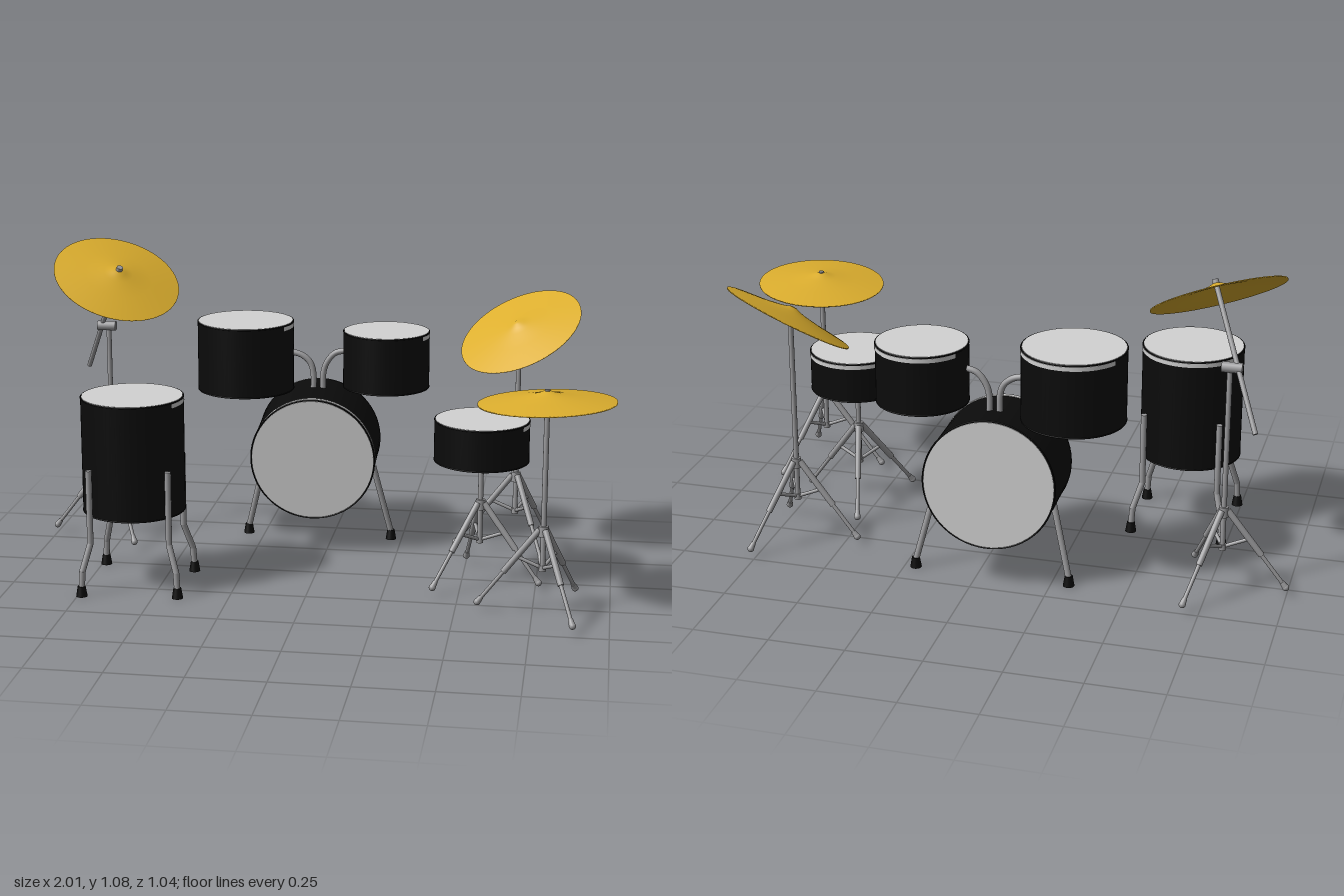
import * as THREE from 'three';

const V = (x, y, z) => new THREE.Vector3(x, y, z);
const UP = V(0, 1, 0);
const mat = (name, color, side = THREE.FrontSide) => {
  const m = new THREE.MeshStandardMaterial({ color, side });
  m.name = name;
  return m;
};

export function createModel() {
  const black = mat('black shell', 0x0b0b0b);
  const skin = mat('drum skin', 0xd2d2d2);
  const chrome = mat('chrome', 0x9c9c9e);
  const gold = mat('cymbal brass', 0xdcae2e, THREE.DoubleSide);
  const kit = new THREE.Group();
  kit.name = 'drumKit';

  const group = (name) => {
    const g = new THREE.Group();
    g.name = name;
    kit.add(g);
    return g;
  };
  const add = (parent, name, geo, material, pos = V(0, 0, 0)) => {
    const m = new THREE.Mesh(geo, material);
    m.name = name;
    m.position.copy(pos);
    parent.add(m);
    return m;
  };
  // Straight round bar between two points
  const rod = (parent, name, a, b, r, material = chrome, r2 = r) => {
    const d = b.clone().sub(a);
    const geo = new THREE.CylinderGeometry(r2, r, d.length(), 16);
    const m = add(parent, name, geo, material, a.clone().add(b).multiplyScalar(0.5));
    m.quaternion.setFromUnitVectors(UP, d.normalize());
    return m;
  };
  const polar = (c, r, deg, y) => {
    const a = THREE.MathUtils.degToRad(deg);
    return V(c.x + r * Math.cos(a), y, c.z + r * Math.sin(a));
  };

  // Drum: shell with a skin at both ends and a thin hoop around each skin
  const drum = (name, r, h, center, axis = UP) => {
    const g = group(name);
    g.position.copy(center);
    g.quaternion.setFromUnitVectors(UP, axis.clone().normalize());
    add(g, 'shell', new THREE.CylinderGeometry(r, r, h - 0.004, 64), black);
    add(g, 'skinCollar', new THREE.CylinderGeometry(r, r, 0.014, 64), skin, V(0.001, h / 2 - 0.012, -0.002));
    for (const s of [1, -1]) {
      add(g, 'skin', new THREE.CylinderGeometry(r * 0.98, r * 0.98, 0.004, 64), skin, V(0, s * (h / 2 - 0.001), 0));
      const hoop = add(g, 'hoop', new THREE.TorusGeometry(r - 0.001, 0.0025, 8, 64), black, V(0, s * (h / 2 - 0.002), 0));
      hoop.rotation.x = Math.PI / 2;
    }
    return g;
  };

  // Black rubber foot
  const rubberFoot = (parent, p) =>
    add(parent, 'rubberFoot', new THREE.CylinderGeometry(0.013, 0.019, 0.035, 20), black, V(p.x, 0.0175, p.z));

  // Tripod stand: pole, three splayed legs, braces and feet
  const stand = (name, x, z, top, startDeg) => {
    const g = group(name), c = V(x, 0, z);
    rod(g, 'pole', V(x, 0.15, z), V(x, top, z), 0.0088);
    rod(g, 'hub', V(x, 0.265, z), V(x, 0.3, z), 0.016);
    rod(g, 'lowerCollar', V(x, 0.148, z), V(x, 0.168, z), 0.012);
    for (let i = 0; i < 3; i++) {
      const deg = startDeg + i * 120;
      const a = polar(c, 0.012, deg, 0.288), b = polar(c, 0.208, deg, 0.032);
      const knee = a.clone().lerp(b, 0.58);
      rod(g, 'upperLeg', a, knee, 0.0105);
      rod(g, 'lowerLeg', knee, b, 0.0065);
      rod(g, 'legTip', a.clone().lerp(b, 0.93), b, 0.008, chrome, 0.011);
      add(g, 'foot', new THREE.SphereGeometry(0.0115, 14, 10), chrome, b);
      rod(g, 'brace', V(x, 0.158, z), a.clone().lerp(b, 0.37), 0.006);
    }
    return g;
  };

  // Cymbal: shallow cone with a small bell, tilted to its normal
  const cymbal = (parent, name, center, normal, flip = 1) => {
    const R = 0.22;
    const pts = [[0, 0.038], [0.012, 0.037], [0.026, 0.031], [0.05, 0.025], [0.12, 0.013], [R, 0],
      [R, -0.004], [0.12, 0.009], [0.03, 0.024], [0, 0.03]];
    const geo = new THREE.LatheGeometry(pts.map(([x, y]) => new THREE.Vector2(x, y)).reverse(), 72);
    const m = add(parent, name, geo, gold, center);
    m.quaternion.setFromUnitVectors(UP, normal.clone().normalize().multiplyScalar(flip));
    return m;
  };

  // Bass drum with two splayed spurs
  const bassAxis = V(0.046, -0.052, 1);
  drum('bassDrum', 0.218, 0.27, V(-0.051, 0.349, -0.339), bassAxis);
  const spurs = group('bassDrumSpurs');
  for (const [x0, x1] of [[-0.245, -0.308], [0.15, 0.212]]) {
    rod(spurs, 'spur', V(x0, 0.28, -0.37), V(x1, 0.025, -0.405), 0.0105);
    rubberFoot(spurs, V(x1, 0, -0.405));
  }

  // Rack toms on curved arms rising from the bass drum
  drum('rightRackTom', 0.169, 0.245, V(-0.302, 0.6825, -0.338));
  drum('leftRackTom', 0.151, 0.2, V(0.195, 0.68, -0.353));
  const arms = group('tomArms');
  for (const [x, s, y] of [[-0.064, -1, 0.695], [-0.028, 1, 0.705]]) {
    const path = new THREE.CatmullRomCurve3([
      V(x, 0.53, -0.355), V(x, 0.62, -0.355), V(x + s * 0.012, 0.658, -0.355),
      V(x + s * 0.042, y - 0.012, -0.355), V(x + s * 0.09, y, -0.355)]);
    add(arms, 'tomArm', new THREE.TubeGeometry(path, 32, 0.0105, 14), chrome);
  }

  // Floor tom with four bent legs
  const ft = V(-0.59, 0.456, 0.185);
  drum('floorTom', 0.171, 0.39, ft);
  const ftLegs = group('floorTomLegs');
  for (const deg of [39, 131, -39, -131]) {
    const top = polar(ft, 0.182, deg, 0.425), bend = polar(ft, 0.182, deg, 0.175);
    const low = polar(ft, 0.217, deg, 0.085), foot = polar(ft, 0.222, deg, 0.02);
    const parts = [top, bend, low, foot];
    for (let i = 0; i < 3; i++) rod(ftLegs, 'leg', parts[i], parts[i + 1], 0.0105);
    for (const p of [bend, low]) add(ftLegs, 'legBend', new THREE.SphereGeometry(0.0105, 14, 10), chrome, p);
    rubberFoot(ftLegs, foot);
  }

  // Snare drum on its stand
  drum('snareDrum', 0.158, 0.14, V(0.56, 0.506, 0.039));
  stand('snareStand', 0.56, 0.039, 0.44, 14);

  // Hi-hat: two cymbals facing each other
  const hat = stand('hiHat', 0.78, 0.303, 0.75, 60);
  const hatN = V(-0.046, 1, -0.046);
  cymbal(hat, 'topHiHatCymbal', V(0.78, 0.708, 0.303), hatN);
  cymbal(hat, 'bottomHiHatCymbal', V(0.78, 0.704, 0.303), hatN, -1);

  // Left crash cymbal
  const crash = stand('crashStand', 0.66, -0.307, 0.825, 60);
  cymbal(crash, 'crashCymbal', V(0.663, 0.802, -0.315), V(-0.37, 0.85, 0.37));

  // Right ride cymbal on a boom
  const ride = stand('rideStand', -0.79, -0.31, 0.78, 56);
  const rideN = V(0.33, 0.86, 0.39).normalize();
  const rideC = V(-0.728, 0.968, -0.198);
  cymbal(ride, 'rideCymbal', rideC, rideN);
  const tip = rideC.clone().addScaledVector(rideN, 0.034);
  rod(ride, 'boomArm', V(-0.893, 0.604, -0.417), tip, 0.0085);
  rod(ride, 'boomClamp', V(-0.83, 0.775, -0.312), V(-0.765, 0.775, -0.312), 0.017);
  rod(ride, 'rideNut', tip, tip.clone().addScaledVector(rideN, 0.016), 0.011);

  return kit;
}
